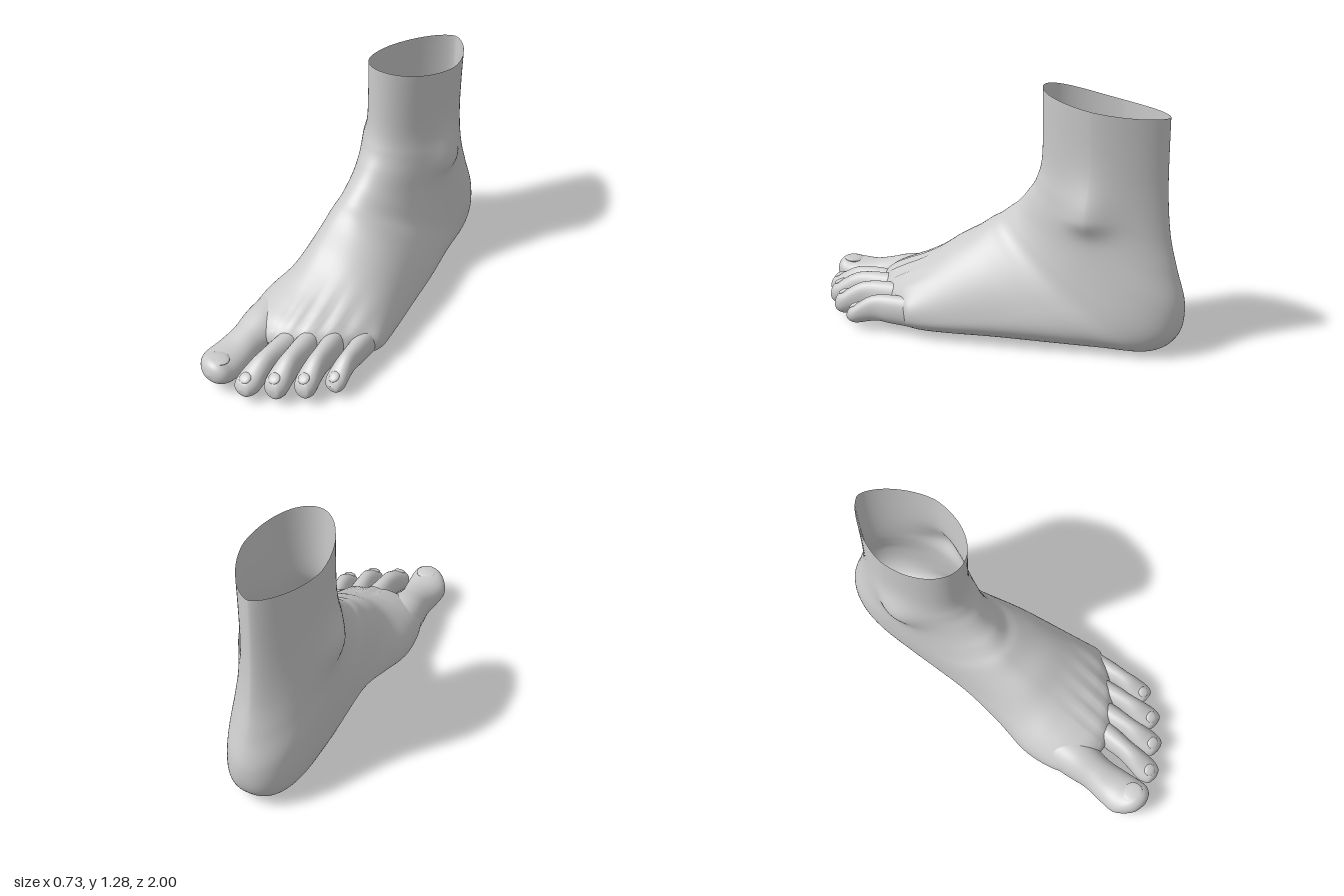
import * as THREE from 'three';

const skin = new THREE.MeshStandardMaterial({ color: 0xcccccc, side: THREE.DoubleSide });
const gauss = (d, s) => Math.exp(-(d * d) / (s * s));
const { clamp, smoothstep } = THREE.MathUtils;

// Catmull-Rom blend of whole section rows
function sampleRow(rows, t) {
  const f = t * (rows.length - 1);
  const i = Math.min(Math.floor(f), rows.length - 2);
  const u = f - i;
  const at = (k) => rows[clamp(k, 0, rows.length - 1)];
  return rows[0].map((_, k) => {
    const a = at(i - 1)[k], b = at(i)[k], c = at(i + 1)[k], d = at(i + 2)[k];
    return b + 0.5 * u * (c - a + u * (2 * a - 5 * b + 4 * c - d + u * (3 * (b - c) + d - a)));
  });
}

// Loft of egg-shaped sections. Row: topY, topZ, bottomY, bottomZ, minX, maxX.
// form(t, minX, maxX) gives the centre, height of the widest point, exponents and backward sweep
function loft(name, rows, steps, sides, form, shape) {
  const pos = [], idx = [];
  for (let i = 0; i <= steps; i++) {
    const [ty, tz, by, bz, xl, xr] = sampleRow(rows, i / steps);
    const { c, w, up, low, sweep } = form(i / steps, xl, xr);
    for (let j = 0; j < sides; j++) {
      const a = (j / sides) * Math.PI * 2;
      const s = Math.sin(a), k = Math.cos(a);
      const n = k > 0 ? up : low;
      const h = w + (k > 0 ? 1 - w : w) * Math.sign(k) * Math.pow(Math.abs(k), 2 / n);
      const x = c + (s > 0 ? xr - c : c - xl) * Math.sign(s) * Math.pow(Math.abs(s), 2 / n);
      const z = bz + (tz - bz) * h - sweep * Math.max(0, x + 0.1) ** 2;
      const p = new THREE.Vector3(x, by + (ty - by) * h, z);
      if (shape) shape(p, k, s);
      pos.push(p.x, p.y, p.z);
      if (i < steps) {
        const A = i * sides + j, B = i * sides + ((j + 1) % sides);
        idx.push(A, A + sides, B, B, A + sides, B + sides);
      }
    }
  }
  const g = new THREE.BufferGeometry();
  g.setAttribute('position', new THREE.Float32BufferAttribute(pos, 3));
  g.setIndex(idx);
  g.computeVertexNormals();
  const mesh = new THREE.Mesh(g, skin);
  mesh.name = name;
  return mesh;
}

// Section form: pinched at the tendon, full at the heel and sole, swept back to the little toe
const bodyForm = (t) => ({
  c: -0.115 + 0.065 * smoothstep(t, 0.4, 0.95),
  w: 0.5 - 0.19 * gauss(t - 0.63, 0.2),
  up: 2 + 0.35 * gauss(t - 0.53, 0.12),
  low: 1.55 + 1.05 * smoothstep(t, 0.1, 0.42) - 0.5 * smoothstep(t, 0.75, 1),
  sweep: 1.75 * smoothstep(t, 0.63, 0.95),
});
const toeForm = (t, xl, xr) => ({ c: (xl + xr) / 2, w: 0.48, up: 2.1, low: 2.1, sweep: 0 });

// Dipped rim, ankle bones, raised inner arch and tendon ridges
function anatomy(p, k, s) {
  const { x, y, z } = p;
  p.y -= (0.022 - 0.01 * s) * s * s * smoothstep(y, 1.0, 1.2);
  if (s > 0) p.x += 0.045 * s * gauss(y - 0.69, y > 0.69 ? 0.17 : 0.075) * gauss(z + 0.57, 0.12);
  else p.x += 0.045 * s * gauss(y - 0.76, 0.12) * gauss(z + 0.48, 0.13);
  p.y += 0.1 * gauss(z + 0.12, 0.26) * clamp((0.06 - x) / 0.3, 0, 1) * clamp(1 - y / 0.28, 0, 1);
  if (k > 0.1 && x > -0.08) {
    p.y += 0.009 * Math.cos((x + 0.01 - 0.1 * (z - 0.5)) * 68) * gauss(z + 0.4 * x - 0.5, 0.14) * k;
  }
}

function nail(x, y, z, w, l, tilt) {
  const m = new THREE.Mesh(new THREE.SphereGeometry(1, 20, 12), skin);
  m.scale.set(w, 0.012, l);
  m.position.set(x, y, z);
  m.rotation.x = tilt;
  m.name = 'toenail';
  return m;
}

export function createModel() {
  const foot = new THREE.Group();
  foot.name = 'foot';

  // Leg stump, ankle, heel and midfoot: sections swing from level to upright
  foot.add(loft('footBody', [
    [1.285, -0.25, 1.185, -0.9, -0.305, 0.095],
    [0.95, -0.25, 0.84, -0.9, -0.315, 0.08],
    [0.82, -0.22, 0.6, -0.92, -0.33, 0.09],
    [0.74, -0.17, 0.42, -0.96, -0.33, 0.095],
    [0.68, -0.12, 0.25, -1.0, -0.335, 0.1],
    [0.64, -0.07, 0.1, -0.975, -0.335, 0.11],
    [0.6, -0.02, 0.02, -0.87, -0.33, 0.125],
    [0.57, 0.03, 0.01, -0.66, -0.32, 0.165],
    [0.52, 0.1, 0.01, -0.42, -0.31, 0.22],
    [0.46, 0.2, 0.01, -0.15, -0.305, 0.27],
    [0.39, 0.3, 0.005, 0.1, -0.315, 0.315],
    [0.335, 0.4, 0.005, 0.3, -0.34, 0.337],
    [0.29, 0.5, 0.015, 0.46, -0.328, 0.335],
    [0.245, 0.59, 0.04, 0.57, -0.295, 0.315],
    [0.19, 0.64, 0.09, 0.63, -0.25, 0.26],
    [0.145, 0.65, 0.14, 0.65, -0.15, 0.15],
  ], 128, 96, bodyForm, anatomy));

  // Big toe: top, bottom, z, minX, maxX
  foot.add(loft('bigToe', [
    [0.26, 0.03, 0.44, -0.315, -0.09],
    [0.25, 0.02, 0.58, -0.305, -0.085],
    [0.215, 0.025, 0.7, -0.287, -0.1],
    [0.19, 0.03, 0.8, -0.293, -0.09],
    [0.187, 0.035, 0.89, -0.295, -0.08],
    [0.195, 0.055, 0.95, -0.262, -0.085],
    [0.175, 0.085, 0.985, -0.22, -0.115],
    [0.132, 0.132, 1.0, -0.165, -0.165],
  ].map(([top, bottom, z, xl, xr]) => [top, z, bottom, z, xl, xr]), 48, 40, toeForm));
  foot.add(nail(-0.168, 0.183, 0.915, 0.055, 0.05, -0.08));

  // Smaller toes: root x, root z, tip x, tip z, half width, knuckle height
  const toes = [
    ['secondToe', 0.0, 0.5, -0.008, 0.95, 0.063, 0.212],
    ['thirdToe', 0.075, 0.46, 0.118, 0.87, 0.063, 0.225],
    ['fourthToe', 0.165, 0.38, 0.227, 0.775, 0.06, 0.22],
    ['littleToe', 0.27, 0.29, 0.314, 0.65, 0.054, 0.195],
  ];
  // Along the toe: position, width factor, top relative to the knuckle, bottom
  const profile = [
    [0, 0.95, 0.01, 0.05], [0.3, 0.92, 0.01, 0.055], [0.52, 0.82, 0.003, 0.06],
    [0.68, 0.9, -0.014, 0.05], [0.85, 1, -0.055, 0.035], [0.95, 0.8, -0.078, 0.043],
    [0.985, 0.5, -0.1, 0.06], [1, 0, -0.12, 0.09],
  ];
  for (const [name, x0, z0, x1, z1, w, top] of toes) {
    const along = (s) => [x0 + (x1 - x0) * s, z0 + (z1 - z0) * s];
    foot.add(loft(name, profile.map(([s, f, dy, bottom]) => {
      const [x, z] = along(s);
      return [Math.max(top + dy, bottom), z, bottom, z, x - w * f, x + w * f];
    }), 40, 32, toeForm));
    const [nx, nz] = along(0.9);
    foot.add(nail(nx, top - 0.07, nz, w * 0.5, 0.03, 0.5));
  }
  return foot;
}
